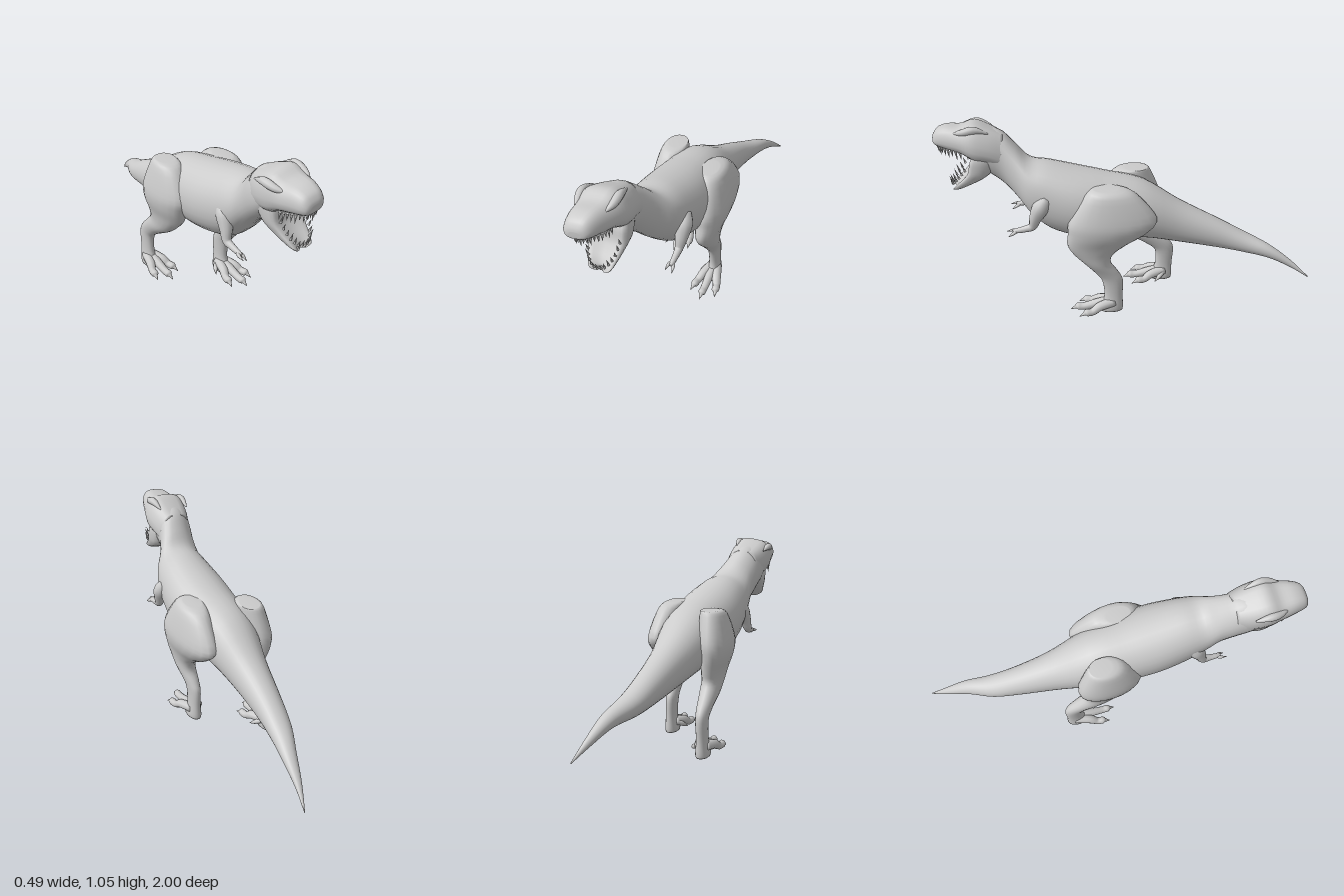
import * as THREE from 'three';

const material = new THREE.MeshStandardMaterial({ color: 0xcccccc });

// Catmull-Rom resampling of rows of numbers
function resample(rows, steps) {
  const out = [];
  const at = i => rows[Math.max(0, Math.min(rows.length - 1, i))];
  for (let i = 0; i < rows.length - 1; i++) {
    for (let s = 0; s < steps; s++) {
      const t = s / steps;
      out.push(rows[i].map((b, k) => {
        const a = at(i - 1)[k], c = at(i + 1)[k], d = at(i + 2)[k];
        return b + 0.5 * t * (c - a + t * (2 * a - 5 * b + 4 * c - d + t * (3 * (b - c) + d - a)));
      }));
    }
  }
  out.push(rows[rows.length - 1]);
  return out;
}

// Closed skin from rings of points, capped at both ends and wound outwards
function skin(rings) {
  const n = rings[0].length, pos = [], idx = [];
  rings.forEach(r => r.forEach(p => pos.push(...p)));
  const quad = (a, b, c, d) => idx.push(a, b, c, b, d, c);
  for (let i = 0; i < rings.length - 1; i++)
    for (let j = 0; j < n; j++) {
      const k = (j + 1) % n;
      quad(i * n + j, i * n + k, (i + 1) * n + j, (i + 1) * n + k);
    }
  [0, rings.length - 1].forEach((i, end) => {
    const c = pos.length / 3;
    pos.push(...[0, 1, 2].map(k => rings[i].reduce((s, p) => s + p[k], 0) / n));
    for (let j = 0; j < n; j++) {
      const a = i * n + j, b = i * n + (j + 1) % n;
      idx.push(c, end ? a : b, end ? b : a);
    }
  });
  const v = i => new THREE.Vector3().fromArray(pos, i * 3);
  let volume = 0;
  for (let i = 0; i < idx.length; i += 3) volume += v(idx[i]).dot(v(idx[i + 1]).cross(v(idx[i + 2])));
  if (volume < 0) idx.reverse();
  const g = new THREE.BufferGeometry();
  g.setAttribute('position', new THREE.Float32BufferAttribute(pos, 3));
  g.setIndex(idx);
  g.computeVertexNormals();
  return g;
}

// Sections are [t, centre x, half width, high, low]; place() turns them into points
function loft(rows, power, place, sides = 24, steps = 4) {
  const bend = c => Math.sign(c) * Math.abs(c) ** (2 / power);
  return skin(resample(rows, steps).map(([t, cx, w, hi, lo]) =>
    Array.from({ length: sides }, (_, j) => {
      const a = (j / sides) * Math.PI * 2, u = bend(Math.cos(a)), v = bend(Math.sin(a));
      return place(t, cx + u * w, (hi + lo) / 2 + v * (hi - lo) / 2, u, v);
    })));
}

// Tapered limb through [x, y, z, radius] points
function limb(points, sides = 10) {
  const rows = resample(points, 4);
  const pts = rows.map(r => new THREE.Vector3(...r));
  return skin(pts.map((p, i) => {
    const dir = pts[Math.min(i + 1, pts.length - 1)].clone().sub(pts[Math.max(i - 1, 0)]).normalize();
    const side = new THREE.Vector3(1, 0, 0).addScaledVector(dir, -dir.x).normalize();
    const up = dir.clone().cross(side);
    return Array.from({ length: sides }, (_, j) => {
      const a = (j / sides) * Math.PI * 2, r = Math.max(rows[i][3], 0.001);
      return p.clone().addScaledVector(side, r * Math.cos(a)).addScaledVector(up, r * Math.sin(a)).toArray();
    });
  }));
}

export function createModel() {
  const model = new THREE.Group();
  model.name = 'dinosaur';
  const add = (name, geometry, parent = model) => {
    const m = new THREE.Mesh(geometry, material);
    m.name = name;
    parent.add(m);
    return m;
  };
  const group = name => {
    const g = new THREE.Group();
    g.name = name;
    model.add(g);
    return g;
  };

  // Tail, trunk and neck in one skin
  add('body', loft([
    [-1, 0.2, 0.002, 0.216, 0.21], [-0.9, 0.162, 0.02, 0.305, 0.262],
    [-0.78, 0.125, 0.041, 0.385, 0.308], [-0.65, 0.078, 0.063, 0.44, 0.325],
    [-0.5, 0.047, 0.078, 0.515, 0.345], [-0.3, 0.02, 0.105, 0.615, 0.375],
    [-0.1, 0, 0.15, 0.735, 0.408], [0.1, -0.005, 0.175, 0.785, 0.41],
    [0.25, -0.01, 0.182, 0.82, 0.43], [0.4, -0.022, 0.165, 0.855, 0.475],
    [0.5, -0.035, 0.145, 0.87, 0.56], [0.57, -0.065, 0.115, 0.935, 0.64],
    [0.64, -0.095, 0.103, 1.0, 0.71], [0.72, -0.108, 0.105, 1.02, 0.775],
    [0.78, -0.11, 0.09, 1.0, 0.83]
  ], 2.1, (t, x, h) => [x, h, t], 28));

  // Skull and upper jaw, tilted to one side
  const roll = (x, y) => [x - 0.15 * (y - 0.95), y + 0.15 * (x + 0.125)];
  add('skull', loft([
    [0.63, -0.1, 0.09, 0.985, 0.8], [0.7, -0.107, 0.112, 1.02, 0.83],
    [0.78, -0.113, 0.12, 1.05, 0.845], [0.85, -0.12, 0.105, 1.03, 0.885],
    [0.92, -0.128, 0.087, 1.03, 0.905], [0.97, -0.135, 0.07, 1.015, 0.92],
    [0.993, -0.139, 0.052, 0.99, 0.93], [1, -0.14, 0.03, 0.97, 0.94]
  ], 2.9, (t, x, h, u, v) => [...roll(x - (v > 0 ? 0.2 * u * v * Math.abs(x + 0.12) : 0), h), t]));

  // Brow ridges
  for (const s of [-1, 1]) {
    const brow = [[0.085, 1.0, 0.7, 0.004], [0.092, 1.02, 0.77, 0.02], [0.086, 1.008, 0.83, 0.018], [0.07, 1.0, 0.88, 0.003]];
    add('browRidge', limb(brow.map(([x, y, z, r]) => [...roll(-0.118 + s * x, y), z, r])));
  }

  // Lower jaw in level slices, hollowed along the mouth
  add('lowerJaw', loft([
    [0.9, -0.105, 0.098, 0.82, 0.66], [0.86, -0.102, 0.104, 0.845, 0.665],
    [0.8, -0.1, 0.1, 0.858, 0.69], [0.76, -0.098, 0.087, 0.885, 0.73],
    [0.72, -0.096, 0.07, 0.92, 0.805], [0.695, -0.095, 0.054, 0.935, 0.86],
    [0.68, -0.095, 0.025, 0.922, 0.885]
  ], 2.6, (t, x, h, u, v) => [x, t, h - (v > 0 ? 0.05 * v * (1 - u * u) : 0)]));

  // Teeth along both jaws
  const teeth = group('teeth');
  const tooth = (root, dir, length, r) => {
    const m = add('tooth', new THREE.ConeGeometry(r, length, 6), teeth);
    const d = new THREE.Vector3(...dir).normalize();
    m.quaternion.setFromUnitVectors(new THREE.Vector3(0, 1, 0), d);
    m.position.set(...root).addScaledVector(d, length / 2);
  };
  for (let i = 0; i < 19; i++) {
    const a = (i / 18) * Math.PI, c = Math.cos(a), s = Math.sin(a);
    const length = 0.046 + 0.01 * Math.sin(i * 2.3);
    tooth([...roll(-0.13 + 0.078 * c, 0.9 + 0.03 * s), 0.855 + 0.125 * s], [0, -1, -0.08], length, 0.008);
  }
  for (let i = 0; i < 15; i++) {
    const a = (i / 14) * Math.PI, c = Math.cos(a), s = Math.sin(a);
    tooth([-0.096 + 0.075 * c, 0.81 - 0.105 * s, 0.835 + 0.085 * s], [0.1 * c, 1, 0.35], 0.042 + 0.008 * Math.sin(i * 1.9), 0.007);
  }

  // Legs in level slices: [height, centre x, half width, front z, back z]
  const shapes = {
    left: [
      [0.765, 0.12, 0.045, 0.17, 0.04], [0.735, 0.137, 0.068, 0.215, -0.05], [0.6, 0.155, 0.085, 0.3, -0.16],
      [0.52, 0.16, 0.078, 0.31, -0.11], [0.44, 0.15, 0.064, 0.315, 0], [0.38, 0.147, 0.056, 0.28, 0.07],
      [0.32, 0.147, 0.05, 0.225, 0.085], [0.255, 0.145, 0.038, 0.17, 0.045], [0.2, 0.145, 0.032, 0.135, 0.02],
      [0.1, 0.147, 0.03, 0.122, 0.022], [0.03, 0.147, 0.038, 0.15, 0.02], [0.003, 0.147, 0.036, 0.15, 0.022]
    ],
    right: [
      [0.755, -0.13, 0.05, -0.01, -0.13], [0.73, -0.14, 0.068, 0.06, -0.15], [0.6, -0.155, 0.085, 0.14, -0.2],
      [0.52, -0.16, 0.078, 0.13, -0.2], [0.44, -0.15, 0.064, 0.1, -0.18], [0.38, -0.147, 0.056, 0.05, -0.17],
      [0.32, -0.147, 0.05, -0.02, -0.215], [0.255, -0.145, 0.038, -0.125, -0.275], [0.2, -0.145, 0.032, -0.185, -0.293],
      [0.1, -0.147, 0.03, -0.188, -0.287], [0.03, -0.147, 0.038, -0.16, -0.288], [0.003, -0.147, 0.036, -0.16, -0.285]
    ]
  };
  for (const [side, rows] of Object.entries(shapes)) {
    const leg = group(side + 'Leg');
    add('thighAndShin', loft(rows, 2.1, (t, x, h) => [x, t, h], 20), leg);
    // Three forward toes with claws and a small inner toe
    const s = side === 'left' ? 1 : -1, x = 0.145 * s, z = side === 'left' ? 0 : -0.31;
    for (const [spread, reach] of [[-0.066, 0.265], [0, 0.312], [0.066, 0.265]]) {
      add('toe', limb([
        [x + spread * 0.2, 0.06, z + 0.07, 0.028], [x + spread * 0.6, 0.048, z + 0.15, 0.026],
        [x + spread * 0.85, 0.026, z + reach - 0.075, 0.021], [x + spread * 0.95, 0.026, z + reach - 0.04, 0.021],
        [x + spread, 0.022, z + reach - 0.028, 0.012], [x + spread * 1.08, 0.008, z + reach, 0.001]
      ]), leg);
    }
    add('innerToe', limb([
      [x - 0.02 * s, 0.06, z + 0.07, 0.015], [x - 0.055 * s, 0.04, z + 0.1, 0.013], [x - 0.075 * s, 0.018, z + 0.13, 0.001]
    ]), leg);
  }

  // Short arms with two clawed fingers
  for (const [side, s, x0, x1] of [['left', 1, 0.11, 0.113], ['right', -1, -0.145, -0.178]]) {
    const arm = group(side + 'Arm');
    add('armAndHand', limb([
      [x0, 0.71, 0.41, 0.03], [x0 + 0.008 * s, 0.66, 0.445, 0.045], [(x0 + x1) / 2 + 0.006 * s, 0.6, 0.475, 0.034],
      [x1, 0.545, 0.495, 0.023], [x1, 0.53, 0.53, 0.018], [x1, 0.52, 0.575, 0.014], [x1, 0.515, 0.6, 0.01]
    ], 12), arm);
    for (const [dx, dy, dz] of [[-0.016, 0, 0.035], [0.014, -0.018, 0.026]]) {
      add('finger', limb([
        [x1, 0.52, 0.575, 0.009], [x1 + dx * 0.8, 0.516 + dy * 0.4, 0.598, 0.009],
        [x1 + dx, 0.508 + dy, 0.6 + dz, 0.001]
      ], 8), arm);
    }
  }
  return model;
}
